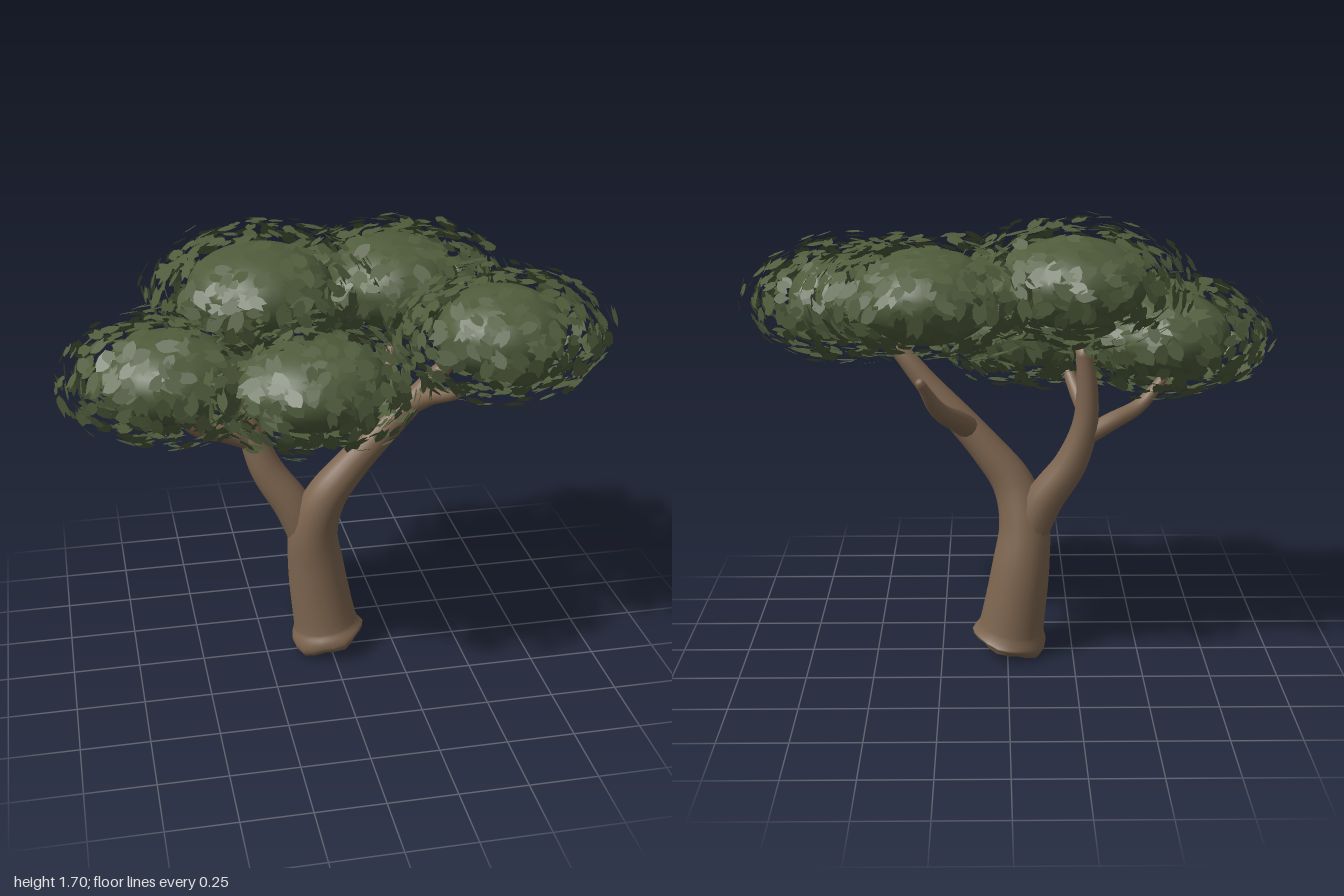
import * as THREE from 'three';
import { mergeGeometries } from 'three/addons/utils/BufferGeometryUtils.js';

const bark = new THREE.MeshStandardMaterial({ color: 0x7d654f });
bark.name = 'bark brown';
const foliage = new THREE.MeshStandardMaterial({ color: 0x4f5b3b, side: THREE.DoubleSide });
foliage.name = 'foliage green';

// Small seeded random generator
let seed = 7;
function rand() {
  seed = (seed * 16807) % 2147483647;
  return seed / 2147483647;
}
const spread = (s) => (rand() * 2 - 1) * s;

// Closed tapering limb through points [x, y, z, radius]; flare makes lumpy roots
function limb(name, pts, { sides = 12, steps = 24, flare = 0 } = {}) {
  const curve = new THREE.CatmullRomCurve3(pts.map((p) => new THREE.Vector3(p[0], p[1], p[2])));
  const radii = new THREE.CatmullRomCurve3(pts.map((p, i) => new THREE.Vector3(p[3], i, 0)), false, 'catmullrom', 0.5);
  const pos = [], idx = [];
  const front = new THREE.Vector3(0, 0, 1);
  for (let i = 0; i <= steps; i++) {
    const t = i / steps;
    const c = curve.getPoint(t);
    const r = radii.getPoint(t).x;
    const tan = curve.getTangent(t);
    const u = new THREE.Vector3().crossVectors(tan, front).normalize();
    const v = new THREE.Vector3().crossVectors(u, tan).normalize();
    const lump = flare * Math.max(0, 1 - t * 8);
    for (let j = 0; j < sides; j++) {
      const a = (j / sides) * Math.PI * 2;
      const q = r * (1 + lump * Math.cos(a * 5));
      const p = c.clone().addScaledVector(u, Math.cos(a) * q).addScaledVector(v, Math.sin(a) * q);
      pos.push(p.x, p.y, p.z);
      if (i < steps) {
        const k = i * sides + j, n = i * sides + ((j + 1) % sides);
        idx.push(k, k + sides, n, n, k + sides, n + sides);
      }
    }
  }
  // End caps
  const last = steps * sides, c0 = pos.length / 3;
  for (const p of [curve.getPoint(0), curve.getPoint(1)]) pos.push(p.x, p.y, p.z);
  for (let j = 0; j < sides; j++) {
    const n = (j + 1) % sides;
    idx.push(c0, j, n, c0 + 1, last + n, last + j);
  }
  const g = new THREE.BufferGeometry();
  g.setAttribute('position', new THREE.Float32BufferAttribute(pos, 3));
  g.setIndex(idx);
  g.computeVertexNormals();
  const mesh = new THREE.Mesh(g, bark);
  mesh.name = name;
  return mesh;
}

// One broad pointed leaf, lying in the xy plane
function leafGeometry() {
  const s = new THREE.Shape();
  s.moveTo(0, -0.036);
  s.quadraticCurveTo(0.032, -0.02, 0.023, 0.006);
  s.lineTo(0.012, 0.038);
  s.lineTo(0, 0.018);
  s.lineTo(-0.016, 0.03);
  s.quadraticCurveTo(-0.032, -0.012, 0, -0.036);
  return new THREE.ShapeGeometry(s, 3);
}

// Smooth core wrapped in a loose shell of leaves, evenly spread but ragged in depth
function leafCloud(name, center, core, shell, count) {
  const group = new THREE.Group();
  group.name = name;
  group.position.set(...center);

  const ball = new THREE.Mesh(new THREE.SphereGeometry(1, 32, 20), foliage);
  ball.name = 'foliageCore';
  ball.scale.set(...core);
  group.add(ball);

  const base = leafGeometry();
  const leaves = [];
  const size = new THREE.Vector3(...shell);
  const forward = new THREE.Vector3(0, 0, 1);
  for (let i = 0; i < count; i++) {
    const y = 1 - (2 * (i + 0.5)) / count;
    const a = i * 2.39996 + spread(0.3);
    const h = Math.sqrt(1 - y * y);
    const dir = new THREE.Vector3(Math.cos(a) * h, y, Math.sin(a) * h);
    const normal = dir.clone().divide(size).normalize();
    normal.add(new THREE.Vector3(spread(0.2), spread(0.2), spread(0.2))).normalize();
    const q = new THREE.Quaternion().setFromUnitVectors(forward, normal);
    q.multiply(new THREE.Quaternion().setFromAxisAngle(forward, rand() * Math.PI * 2));
    const p = dir.multiply(size).multiplyScalar(0.74 + rand() * 0.28);
    const k = 0.8 + rand() * 0.45;
    leaves.push(base.clone().applyMatrix4(new THREE.Matrix4().compose(p, q, new THREE.Vector3(k, k, k))));
  }
  const mesh = new THREE.Mesh(mergeGeometries(leaves), foliage);
  mesh.name = 'leaves';
  group.add(mesh);
  return group;
}

export function createModel() {
  seed = 7;
  const tree = new THREE.Group();
  tree.name = 'tree';

  // Trunk running into the thick left branch
  tree.add(limb('trunk', [
    [0, 0.034, -0.01, 0.124], [-0.008, 0.062, -0.011, 0.142], [-0.016, 0.11, -0.015, 0.124],
    [-0.05, 0.35, -0.02, 0.109], [-0.062, 0.52, -0.005, 0.094], [-0.02, 0.67, 0.02, 0.078],
    [0.075, 0.8, 0.03, 0.064], [0.18, 0.92, 0.04, 0.055], [0.29, 1.04, 0.055, 0.045],
    [0.38, 1.15, 0.07, 0.035], [0.44, 1.22, 0.085, 0.025],
  ], { sides: 20, steps: 60, flare: 0.1 }));

  // Main branch on the other side of the fork
  tree.add(limb('rightBranch', [
    [-0.065, 0.44, -0.015, 0.07], [-0.13, 0.61, -0.03, 0.073], [-0.23, 0.77, -0.06, 0.062],
    [-0.28, 0.92, -0.08, 0.048], [-0.287, 1.06, -0.09, 0.039], [-0.27, 1.22, -0.1, 0.028],
  ], { sides: 14, steps: 30 }));

  // Thinner side branches
  tree.add(limb('rightSideBranch', [
    [-0.26, 0.87, -0.08, 0.038], [-0.38, 0.93, -0.05, 0.034], [-0.49, 0.98, 0, 0.027], [-0.58, 1.08, 0.03, 0.018],
  ]));
  tree.add(limb('rightFrontTwig', [
    [-0.28, 0.98, -0.09, 0.03], [-0.25, 1.04, -0.02, 0.026], [-0.21, 1.13, 0.07, 0.018],
  ]));
  tree.add(limb('leftBackBranch', [
    [0.14, 0.88, 0.04, 0.045], [0.19, 0.945, -0.08, 0.04], [0.25, 1.02, -0.21, 0.031], [0.31, 1.15, -0.31, 0.015],
  ]));
  tree.add(limb('leftFrontBranch', [
    [0.29, 1.03, 0.05, 0.036], [0.35, 1.09, 0.12, 0.032], [0.41, 1.13, 0.2, 0.024], [0.45, 1.18, 0.26, 0.016],
  ]));

  // Canopy: name, centre, core radii, leaf shell radii
  const clouds = [
    ['rightFoliage', [-0.58, 1.23, 0.08], [0.245, 0.155, 0.245], [0.41, 0.235, 0.36]],
    ['backRightFoliage', [-0.23, 1.46, -0.12], [0.265, 0.16, 0.255], [0.43, 0.235, 0.44]],
    ['frontFoliage', [-0.11, 1.23, 0.25], [0.27, 0.155, 0.235], [0.41, 0.235, 0.38]],
    ['leftFoliage', [0.58, 1.35, 0.18], [0.235, 0.16, 0.235], [0.41, 0.235, 0.39]],
    ['backLeftFoliage', [0.28, 1.43, -0.22], [0.245, 0.165, 0.255], [0.45, 0.22, 0.41]],
  ];
  for (const [name, center, core, shell] of clouds) tree.add(leafCloud(name, center, core, shell, 480));

  return tree;
}
